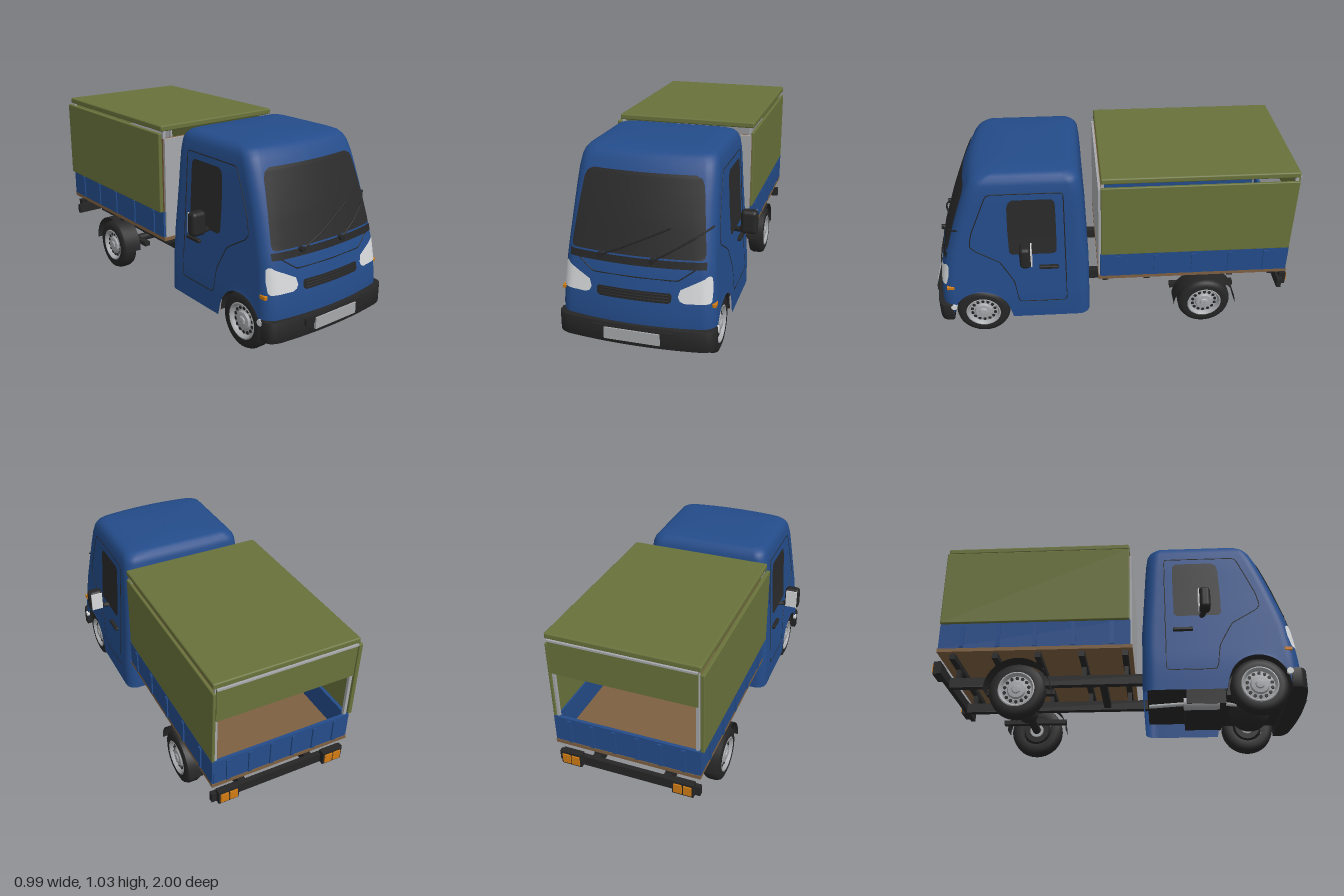
import * as THREE from 'three';
import { toCreasedNormals } from 'three/addons/utils/BufferGeometryUtils.js';
import { RoundedBoxGeometry } from 'three/addons/geometries/RoundedBoxGeometry.js';

const mat = (name, color) => {
  const m = new THREE.MeshStandardMaterial({ color, side: THREE.DoubleSide });
  m.name = name;
  return m;
};
const M = {
  blue: mat('bluePaint', 0x244c8a), olive: mat('oliveCanvas', 0x69723b), black: mat('blackTrim', 0x262627),
  glass: mat('darkGlass', 0x2a2a2b), wood: mat('woodBoard', 0x7e6041), silver: mat('silverMetal', 0xa6a8ab),
  lamp: mat('lampLens', 0xd6d8da), orange: mat('orangeLens', 0xd17c12),
};

// Cab cross-sections: y, half width, back z, front z
const SECTIONS = [
  [.12, .39, .12, .955], [.17, .39, .12, .965], [.22, .39, .12, .97], [.27, .389, .12, .967], [.31, .387, .12, .963],
  [.35, .384, .12, .957], [.48, .375, .12, .935], [.55, .371, .125, .915], [.64, .365, .13, .885], [.72, .36, .135, .858],
  [.82, .355, .14, .82], [.91, .35, .147, .783], [.965, .342, .154, .755], [.99, .333, .165, .735], [1.008, .318, .18, .71],
  [1.018, .295, .205, .67], [1.026, .23, .26, .6], [1.03, .12, .34, .5], [1.031, .002, .42, .425],
];
function section(y) {
  let i = 0;
  while (i < SECTIONS.length - 2 && SECTIONS[i + 1][0] < y) i++;
  const a = SECTIONS[i], b = SECTIONS[i + 1], t = (y - a[0]) / (b[0] - a[0]);
  const [w, back, front] = [1, 2, 3].map(k => a[k] + (b[k] - a[k]) * t);
  return { w, back, front, r: Math.min(.06, w * .9, (front - back) * .45) };
}
const bow = (x, z, s) => z - .3 * x * x * Math.max(0, ((z - s.back) / (s.front - s.back) - .6) / .4);
const FRONT_AXLE = .72, REAR_AXLE = -.535, WHEEL_Y = .148;

// Rounded outline of the cab at one height
function cabRing(s) {
  const { w, back, front, r } = s, pts = [];
  const line = (x0, z0, x1, z1, n) => {
    for (let i = 0; i < n; i++) pts.push([x0 + (x1 - x0) * i / n, z0 + (z1 - z0) * i / n]);
  };
  const arc = (x, z, from) => {
    for (let i = 0; i < 6; i++) {
      const a = from - Math.PI / 2 * i / 6;
      pts.push([x + r * Math.cos(a), z + r * Math.sin(a)]);
    }
  };
  const c = w - r, f = front - r, b = back + r;
  line(-c, front, c, front, 16); arc(c, f, Math.PI / 2);
  line(w, f, w, b, 50); arc(c, b, 0);
  line(c, back, -c, back, 6); arc(-c, b, -Math.PI / 2);
  line(-w, b, -w, f, 50); arc(-c, f, Math.PI);
  return pts.map(([x, z]) => [x, bow(x, z, s)]);
}
function gridGeometry(rows, closed) {
  const n = rows[0].length, index = [];
  for (let j = 0; j < rows.length - 1; j++) for (let i = 0; i < (closed ? n : n - 1); i++) {
    const a = j * n + i, b = j * n + (i + 1) % n;
    index.push(a, b, b + n, a, b + n, a + n);
  }
  const g = new THREE.BufferGeometry();
  g.setAttribute('position', new THREE.Float32BufferAttribute(rows.flat(2), 3));
  g.setIndex(index);
  g.computeVertexNormals();
  return g;
}
function cabGeometry() {
  return gridGeometry(SECTIONS.map(([y]) => cabRing(section(y)).map(([x, z]) => {
    const d = .158 ** 2 - (z - FRONT_AXLE) ** 2;   // wheel arch lifts the lower edge
    return [x, d > 0 && Math.abs(x) > .3 ? Math.max(y, WHEEL_Y + Math.sqrt(d)) : y, z];
  })), true);
}
function onFront(x, y, off = .005) {
  const s = section(y), d = Math.max(0, Math.abs(x) - s.w + s.r);
  return [x, y, bow(x, s.front - s.r + Math.sqrt(Math.max(0, s.r * s.r - d * d)), s) + off];
}
const onSide = side => (z, y, off = .004) => [side * (section(y).w + off), y, z];

export function createModel() {
  const root = new THREE.Group();
  root.name = 'pickupTruck';
  const add = (name, geo, material, x = 0, y = 0, z = 0, parent = root) => {
    const m = new THREE.Mesh(geo, material);
    m.name = name;
    m.position.set(x, y, z);
    parent.add(m);
    return m;
  };
  // Box given by its limits on each axis
  const box = (name, m, x0, x1, y0, y1, z0, z1, r = 0) => add(name,
    r ? new RoundedBoxGeometry(x1 - x0, y1 - y0, z1 - z0, 3, r) : new THREE.BoxGeometry(x1 - x0, y1 - y0, z1 - z0),
    m, (x0 + x1) / 2, (y0 + y1) / 2, (z0 + z1) / 2);
  const tube = (name, m, pts, r, closed = false) => add(name, new THREE.TubeGeometry(new THREE.CatmullRomCurve3(
    pts.map(p => new THREE.Vector3(...p)), closed, 'catmullrom', .08), pts.length * 8, r, 6, closed), m);
  const rod = (name, m, r, len, axis, x, y, z) => {
    const g = new THREE.CylinderGeometry(r, r, len, 24);
    if (axis === 'x') g.rotateZ(Math.PI / 2); else g.rotateX(Math.PI / 2);
    return add(name, g, m, x, y, z);
  };
  // Thin plate laid on the cab skin; rows are [y, start, end]
  const patch = (name, m, rows, fn) => {
    const out = [];
    for (let j = 0; j < rows.length - 1; j++) for (let k = j ? 1 : 0; k <= 4; k++) {
      const [y, a, b] = rows[j].map((v, q) => v + (rows[j + 1][q] - v) * k / 4);
      out.push(Array.from({ length: 21 }, (_, i) => fn(a + (b - a) * i / 20, y)));
    }
    return add(name, gridGeometry(out), m);
  };

  // Cab shell and front details
  add('cabShell', cabGeometry(), M.blue);
  patch('windscreen', M.glass, [[.558, -.315, .315], [.565, -.328, .328], [.585, -.332, .332], [.72, -.318, .318],
    [.88, -.298, .298], [.91, -.285, .285], [.925, -.255, .255]], onFront);
  patch('wiperCowl', M.black, [[.515, -.34, .34], [.55, -.34, .34]], onFront);
  patch('grille', M.black, [[.35, -.17, .17], [.36, -.185, .185], [.39, -.185, .185], [.4, -.178, .178]], onFront);
  for (const y of [.362, .376, .39]) tube('grilleSlat', M.black, [-.17, -.08, 0, .08, .17].map(x => onFront(x, y, .007)), .004);
  tube('bonnetSeam', M.black, [[-.29, .515], [-.21, .46], [0, .46], [.21, .46], [.29, .515]].map(p => onFront(...p, .001)), .003);
  for (const [x0, x1, y1] of [[-.175, .16, .695], [.085, .355, .705]]) {
    const at = (t, off) => onFront(x0 + (x1 - x0) * t, .545 + (y1 - .545) * t, off);
    tube('wiper', M.black, [at(0, .015), at(.35, .022), at(.7, .016), at(1, .012)], .005);
    rod('wiperPivot', M.black, .014, .025, 'z', ...onFront(x0, .545, .01));
  }

  // Bumper wrapping round the nose
  const outline = new THREE.Shape();
  outline.moveTo(-.392, -.885);
  outline.lineTo(-.392, -.92);
  outline.quadraticCurveTo(-.385, -.95, -.33, -.962);
  outline.quadraticCurveTo(0, -1.008, .33, -.962);
  outline.quadraticCurveTo(.385, -.95, .392, -.92);
  outline.lineTo(.392, -.885);
  const bumper = new THREE.ExtrudeGeometry(outline, { depth: .1, bevelSize: .004, bevelThickness: .004, bevelSegments: 2, curveSegments: 16 });
  bumper.rotateX(-Math.PI / 2);
  add('bumper', toCreasedNormals(bumper, .6), M.black, 0, .124, 0);
  box('plateHolder', M.black, -.2, .2, .178, .213, .95, .992);
  box('numberPlate', M.silver, -.14, .14, .145, .205, .985, .999);

  for (const s of [1, -1]) {
    const skin = onSide(s);
    // Headlamps and doors
    patch('headlamp', M.lamp, [[.355, .245, .362], [.365, .225, .37], [.385, .215, .37], [.42, .225, .371], [.475, .335, .366],
      [.485, .347, .358]].map(([y, a, b]) => [y, s * a, s * b]), onFront);
    patch('sideWindow', M.glass, [[.55, .31, .53], [.565, .292, .545], [.7, .29, .545], [.84, .29, .54], [.87, .293, .53], [.885, .31, .51]], skin);
    tube('doorSeam', M.black, [[.62, .918], [.26, .918], [.246, .9], [.246, .25], [.262, .232], [.5, .232], [.513, .25], [.53, .37], [.6, .5],
      [.73, .58], [.752, .61], [.735, .69], [.645, .905]].map(p => skin(...p, -.001)), .003, true);
    box('doorHandle', M.black, s * .383 - .012, s * .383 + .012, .457, .475, .285, .39, .004);
    box('sideMarker', M.orange, s * .378 - .01, s * .378 + .01, .33, .35, .86, .9, .003);
    rod('sideRepeater', M.lamp, .017, .016, 'x', s * .39, .21, .875);
    // Mirrors
    tube('mirrorArm', M.black, [[s * .365, .55, .44], [s * .4, .552, .45], [s * .43, .57, .455]], .015);
    box('mirrorHousing', M.black, s * .45 - .043, s * .45 + .043, .538, .665, .425, .485, .022);
    box('mirrorGlass', M.lamp, s * .45 - .033, s * .45 + .033, .55, .655, .421, .427);
    // Front arch liners and rear mudguards
    for (const [name, r, z, x] of [['archLiner', .16, FRONT_AXLE, .32], ['mudguard', .175, REAR_AXLE, .33]]) {
      const g = new THREE.CylinderGeometry(r, r, name === 'mudguard' ? .1 : .12, 24, 1, true, -Math.PI / 2, Math.PI);
      g.rotateZ(Math.PI / 2).rotateX(0);
      const pos = g.attributes.position;   // turn the half ring to arch upward
      for (let i = 0; i < pos.count; i++) {
        const a = Math.PI * (i % 25) / 24;
        pos.setXYZ(i, pos.getX(i), r * Math.sin(a), r * Math.cos(a));
      }
      g.computeVertexNormals();
      add(name, g, M.black, s * x, WHEEL_Y, z);
    }
    // Wheels
    for (const z of [FRONT_AXLE, REAR_AXLE]) {
      const wheel = new THREE.Group();
      wheel.name = 'wheel';
      wheel.position.set(s * .33, WHEEL_Y, z);
      wheel.rotation.z = -s * Math.PI / 2;
      root.add(wheel);
      const lathe = pts => new THREE.LatheGeometry(pts.map(p => new THREE.Vector2(...p)), 40);
      add('tyre', lathe([[.086, -.045], [.118, -.047], [.14, -.039], [.148, -.022], [.148, .022], [.14, .039], [.118, .047], [.088, .045]]), M.black, 0, 0, 0, wheel);
      add('rim', toCreasedNormals(lathe([[.096, .046], [.09, .048], [.084, .042], [.078, .026], [.05, .03], [.044, .04], [.024, .042], [.02, .048], [.001, .05]]), .6), M.silver, 0, 0, 0, wheel);
      add('brakeDrum', new THREE.CylinderGeometry(.084, .07, .05, 32), M.black, 0, -.01, 0, wheel);
      add('hubPlate', new THREE.CylinderGeometry(.04, .04, .01, 24), M.silver, 0, -.04, 0, wheel);
      for (let i = 0; i < 14; i++) {
        const a = i / 14 * Math.PI * 2;
        add('rimHole', new THREE.CylinderGeometry(.009, .009, .006, 10), M.black, .065 * Math.cos(a), .029, .065 * Math.sin(a), wheel);
      }
    }
    // Chassis rails, springs and tail lamps
    box('chassisRail', M.black, s * .195 - .02, s * .195 + .02, .23, .285, -.94, .4);
    box('leafSpring', M.black, s * .235 - .018, s * .235 + .018, .165, .19, -.72, -.35);
    box('tailLampHousing', M.black, s * .3 - .055, s * .3 + .055, .25, .325, -.992, -.955);
    for (const d of [-.025, .025]) box('tailLamp', M.orange, s * .3 + d - .021, s * .3 + d + .021, .262, .313, -.999, -.99);
    // Drop sides with ribs and corner posts
    box('dropSide', M.blue, s * .375 - .01, s * .375 + .01, .385, .53, -.97, .06);
    for (const z of [-.04, -.245, -.45, -.65, -.845]) box('sideRib', M.blue, s * .387 - .005, s * .387 + .005, .39, .52, z - .012, z + .012);
    for (const z of [.045, -.955]) box('canopyPost', M.silver, s * .365 - .008, s * .365 + .008, .385, .98, z - .008, z + .008);
  }
  box('rightCanvas', M.olive, -.402, -.38, .53, .97, -.97, .055, .005);
  box('leftCanvas', M.olive, .37, .386, .53, .955, -.97, .055, .005);

  // Cab underside, engine and exhaust
  box('cabFloor', M.black, -.37, .37, .2, .215, .14, .56);
  box('cabBulkhead', M.black, -.355, .355, .325, .34, .14, .88);
  box('engineBay', M.black, -.25, .25, .14, .33, .56, .9);
  box('gearTray', M.black, -.2, .24, .115, .2, .35, .56);
  add('engine', new THREE.SphereGeometry(.112, 32, 20), M.black, 0, .138, .7);
  rod('frontAxle', M.black, .025, .6, 'x', 0, WHEEL_Y, FRONT_AXLE);
  rod('muffler', M.silver, .033, .19, 'z', -.165, .125, .43);
  tube('exhaustPipe', M.silver, [[-.1, .14, .62], [-.165, .125, .53], [-.165, .125, .33], [-.175, .11, .15]], .011);

  // Rear axle, cross members and light bar
  rod('rearAxle', M.black, .024, .6, 'x', 0, WHEEL_Y, REAR_AXLE);
  add('differential', new THREE.SphereGeometry(.055, 24, 16), M.black, 0, WHEEL_Y, REAR_AXLE);
  for (const z of [.03, -.2, -.435, -.665, -.895]) {
    box('crossMember', M.black, -.36, .36, .335, .365, z - .016, z + .016);
    for (const x of [-.195, .195]) box('bedSupport', M.black, x - .02, x + .02, .28, .34, z - .012, z + .012);
  }
  for (const z of [-.1, -.7]) box('chassisTie', M.black, -.19, .19, .24, .275, z - .02, z + .02);
  box('lightBar', M.black, -.38, .38, .245, .3, -.965, -.94);

  // Load bed, tailgate and canopy
  box('bedFloor', M.wood, -.385, .385, .365, .385, -.975, .07);
  box('tailgate', M.blue, -.375, .375, .385, .53, -.972, -.955);
  for (const x of [-.3, -.18, -.06, .06, .18, .3]) box('tailgateRib', M.blue, x - .01, x + .01, .39, .52, -.98, -.971);
  box('headboard', M.wood, -.375, .375, .385, .94, .04, .055);
  box('headboardSheet', M.silver, -.372, .372, .385, .94, .055, .068);
  box('canopyRoof', M.olive, -.385, .385, .978, 1.01, -.968, .055, .008);
  box('rearFlap', M.olive, -.37, .37, .79, .98, -.972, -.96);
  box('rearRail', M.silver, -.37, .37, .972, .982, -.978, -.966);
  return root;
}
